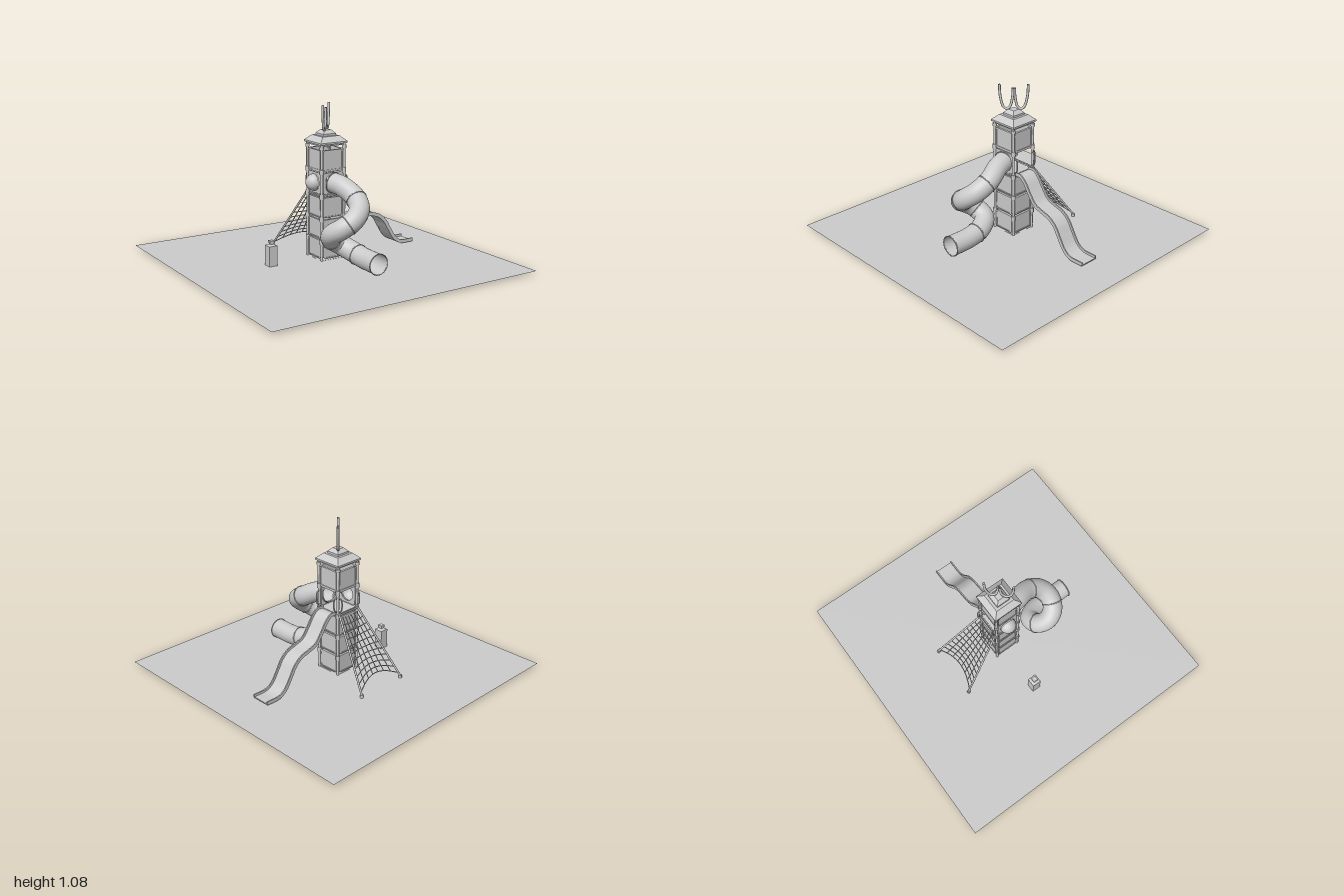
import * as THREE from 'three';
import { toCreasedNormals } from 'three/addons/utils/BufferGeometryUtils.js';

const V = (x, y, z) => new THREE.Vector3(x, y, z);
const grey = new THREE.MeshStandardMaterial({ color: 0xcccccc });
const greyOpen = new THREE.MeshStandardMaterial({ color: 0xcccccc, side: THREE.DoubleSide });
const greyFlat = new THREE.MeshStandardMaterial({ color: 0xcccccc, flatShading: true });

function add(parent, name, geo, x = 0, y = 0, z = 0, mat = grey) {
  const m = new THREE.Mesh(geo, mat);
  m.name = name;
  m.position.set(x, y, z);
  parent.add(m);
  return m;
}
const box = (w, h, d) => new THREE.BoxGeometry(w, h, d);

// Tube through a list of points
function pipe(parent, name, pts, r, segs = 12, sides = 6) {
  const curve = new THREE.CatmullRomCurve3(pts);
  return add(parent, name, new THREE.TubeGeometry(curve, segs, r, sides), 0, 0, 0, greyOpen);
}

// Square-plan solid from [half width, height] pairs
function squareLathe(pairs) {
  const pts = pairs.map(([h, y]) => new THREE.Vector2(h * Math.SQRT2, y));
  return new THREE.LatheGeometry(pts, 4).rotateY(Math.PI / 4);
}

function roundRect(shape, w, h, r) {
  const x = w / 2, y = h / 2;
  shape.moveTo(-x + r, -y);
  shape.lineTo(x - r, -y).quadraticCurveTo(x, -y, x, -y + r);
  shape.lineTo(x, y - r).quadraticCurveTo(x, y, x - r, y);
  shape.lineTo(-x + r, y).quadraticCurveTo(-x, y, -x, y - r);
  shape.lineTo(-x, -y + r).quadraticCurveTo(-x, -y, -x + r, -y);
  return shape;
}
function plate(shape, depth) {
  return new THREE.ExtrudeGeometry(shape, { depth, bevelEnabled: false, curveSegments: 16 })
    .translate(0, 0, -depth / 2);
}

// Wall panel with a raised rim and an optional round hole
function panel(parent, y0, y1, hole = 0) {
  const w = 0.155, h = y1 - y0, y = (y0 + y1) / 2;
  const sheet = roundRect(new THREE.Shape(), w, h, 0.018);
  if (hole) sheet.holes.push(new THREE.Path().absarc(0, 0, hole, 0, Math.PI * 2, true));
  add(parent, 'wallPanel', plate(sheet, 0.008), 0, y, 0.086);
  const rim = roundRect(new THREE.Shape(), w, h, 0.018);
  rim.holes.push(roundRect(new THREE.Path(), w - 0.016, h - 0.016, 0.014));
  if (!hole) add(parent, 'panelRim', plate(rim, 0.016), 0, y, 0.086);
}

function buildTower() {
  const tower = new THREE.Group();
  tower.name = 'tower';
  tower.position.set(0.019, 0, -0.042);
  const clampHeights = [0.15, 0.31, 0.465, 0.635, 0.795];
  for (const x of [-0.09, 0.09]) for (const z of [-0.09, 0.09]) {
    add(tower, 'post', new THREE.CylinderGeometry(0.009, 0.009, 0.82, 12), x, 0.41, z);
    for (const y of clampHeights)
      add(tower, 'postClamp', new THREE.CylinderGeometry(0.015, 0.015, y === 0.795 ? 0.02 : 0.034, 10), x, y, z);
  }
  for (let i = 0; i < 4; i++) {
    const side = new THREE.Group();
    side.name = ['frontSide', 'leftSide', 'backSide', 'rightSide'][i];
    side.rotation.y = i * Math.PI / 2;
    tower.add(side);
    for (const [a, b] of [[0.03, 0.16], [0.172, 0.302], [0.317, 0.455], [0.64, 0.78]]) panel(side, a, b);
    for (const y of [0.015, 0.465, 0.635, 0.81]) add(side, 'crossBar', box(0.18, 0.008, 0.008), 0, y, 0.088);
    if (i === 0) panel(side, 0.48, 0.625, 0.062);
    if (i === 3) {
      panel(side, 0.48, 0.625, 0.056);
      // Bubble window
      const dome = new THREE.SphereGeometry(0.058, 24, 12, 0, Math.PI * 2, 0, Math.PI / 2).rotateX(Math.PI / 2);
      add(side, 'bubbleWindow', dome, 0, 0.553, 0.095, greyOpen);
    }
    // Grab handles beside the open entrances
    if (i === 1 || i === 2) for (const s of [-1, 1])
      pipe(side, 'grabHandle', [V(s * 0.085, 0.6, 0.095), V(s * 0.083, 0.59, 0.115),
        V(s * 0.083, 0.51, 0.115), V(s * 0.085, 0.495, 0.095)], 0.005, 14);
  }
  add(tower, 'floor', box(0.17, 0.012, 0.17), 0, 0.47, 0);

  // Stepped roof
  add(tower, 'roof', squareLathe([[0, 0.82], [0.107, 0.82], [0.107, 0.832], [0.068, 0.868], [0.05, 0.868],
    [0.05, 0.882], [0.026, 0.906], [0, 0.906]]), 0, 0, 0, greyFlat);

  // Two U-shaped bars side by side along the diagonal
  const crown = new THREE.Group();
  crown.name = 'roofCrown';
  crown.rotation.y = Math.PI / 4;
  tower.add(crown);
  const outer = 0.095;
  for (const s of [-1, 1])
    pipe(crown, 'crownBar', [V(s * outer, 1.08, 0), V(s * 0.09, 1.0, 0), V(s * 0.07, 0.925, 0), V(s * 0.048, 0.908, 0),
      V(s * 0.025, 0.925, 0), V(s * 0.009, 0.99, 0), V(s * 0.005, 1.055, 0)], 0.009, 28, 8);
  return tower;
}

function buildTubeSlide() {
  const g = new THREE.Group();
  g.name = 'tubeSlide';
  const path = new THREE.CatmullRomCurve3([
    V(0.02, 0.555, 0.045), V(0.042, 0.54, 0.13), V(0.07, 0.485, 0.235), V(0.045, 0.425, 0.325),
    V(-0.025, 0.365, 0.362), V(-0.1, 0.31, 0.335), V(-0.129, 0.265, 0.27), V(-0.095, 0.215, 0.207),
    V(-0.02, 0.165, 0.2), V(0.026, 0.128, 0.275), V(0.04, 0.108, 0.39), V(0.04, 0.106, 0.56)]);
  add(g, 'spiralTube', new THREE.TubeGeometry(path, 110, 0.069, 28), 0, 0, 0, greyOpen);
  // Joint flanges
  for (const t of [0.005, 0.2, 0.4, 0.6, 0.8, 0.995]) {
    const ring = add(g, 'tubeJoint', new THREE.TorusGeometry(0.07, 0.0035, 6, 32));
    ring.position.copy(path.getPointAt(t));
    ring.lookAt(ring.position.clone().add(path.getTangentAt(t)));
  }
  return g;
}

function buildWaveSlide() {
  const g = new THREE.Group();
  g.name = 'waveSlide';
  const path = new THREE.CatmullRomCurve3([[0.1, 0.475], [0.145, 0.478], [0.185, 0.45], [0.24, 0.37], [0.29, 0.31],
    [0.355, 0.285], [0.42, 0.265], [0.475, 0.22], [0.515, 0.155], [0.565, 0.08], [0.615, 0.047], [0.725, 0.042]]
    .map(([x, y]) => V(x, y, 0)));
  // Strip following the path between two offsets, with a given width
  function strip(lo, hi, width) {
    const top = [], bottom = [];
    for (let i = 0; i <= 60; i++) {
      const p = path.getPointAt(i / 60), t = path.getTangentAt(i / 60);
      top.push(new THREE.Vector2(p.x - t.y * hi, p.y + t.x * hi));
      bottom.unshift(new THREE.Vector2(p.x - t.y * lo, p.y + t.x * lo));
    }
    return toCreasedNormals(plate(new THREE.Shape([...bottom, ...top]), width), 0.6);
  }
  add(g, 'slideBed', strip(-0.011, -0.004, 0.13), 0, 0, -0.043);
  for (const s of [-1, 1]) add(g, 'slideWall', strip(-0.012, 0.013, 0.009), 0, 0, -0.043 + s * 0.065);
  return g;
}

function buildNet() {
  const g = new THREE.Group();
  g.name = 'climbingNet';
  // Point on the net: u across (-1..1), s down the rails (0..1)
  const at = (u, s) => V(0.02 + u * (0.088 + 0.1 * s), 0.475 - 0.44 * s - 0.012 * (1 - u * u), -0.145 - 0.31 * s);
  const net = (u, v) => at(u, 0.03 + 0.93 * v * (1 - 0.16 * (1 - u * u) * v));
  for (const u of [-1, 1]) {
    pipe(g, 'netRail', [at(u, 0), at(u, 0.5), at(u, 1)], 0.007, 4, 8);
    add(g, 'railFoot', new THREE.CylinderGeometry(0.011, 0.012, 0.024, 10), 0.02 + u * 0.188, 0.028, -0.455);
  }
  pipe(g, 'topBar', [at(-1, 0), at(1, 0)], 0.006, 4, 8);
  const span = [-1, -0.5, 0, 0.5, 1];
  for (let i = 1; i <= 10; i++) pipe(g, 'crossRope', span.map(u => net(u, i / 10)), 0.0035, 12, 5);
  for (let j = 1; j <= 6; j++) {
    const u = -1 + j * 2 / 7;
    pipe(g, 'longRope', [0, 0.33, 0.66, 1].map(v => net(u, v)), 0.0035, 10, 5);
  }
  return g;
}

function buildBin() {
  const g = new THREE.Group();
  g.name = 'standingBin';
  g.position.set(-0.408, 0, -0.053);
  add(g, 'binBody', squareLathe([[0, 0.015], [0.031, 0.015], [0.031, 0.157], [0.016, 0.164], [0.011, 0.166],
    [0.011, 0.176], [0, 0.176]]), 0, 0, 0, greyFlat);
  add(g, 'binCap', box(0.032, 0.016, 0.032), 0, 0.183, 0);
  return g;
}

export function createModel() {
  const model = new THREE.Group();
  model.name = 'playground';
  add(model, 'ground', new THREE.PlaneGeometry(2, 2).rotateX(-Math.PI / 2), 0, 0.018, 0, greyOpen);
  model.add(buildTower(), buildTubeSlide(), buildWaveSlide(), buildNet(), buildBin());
  return model;
}
